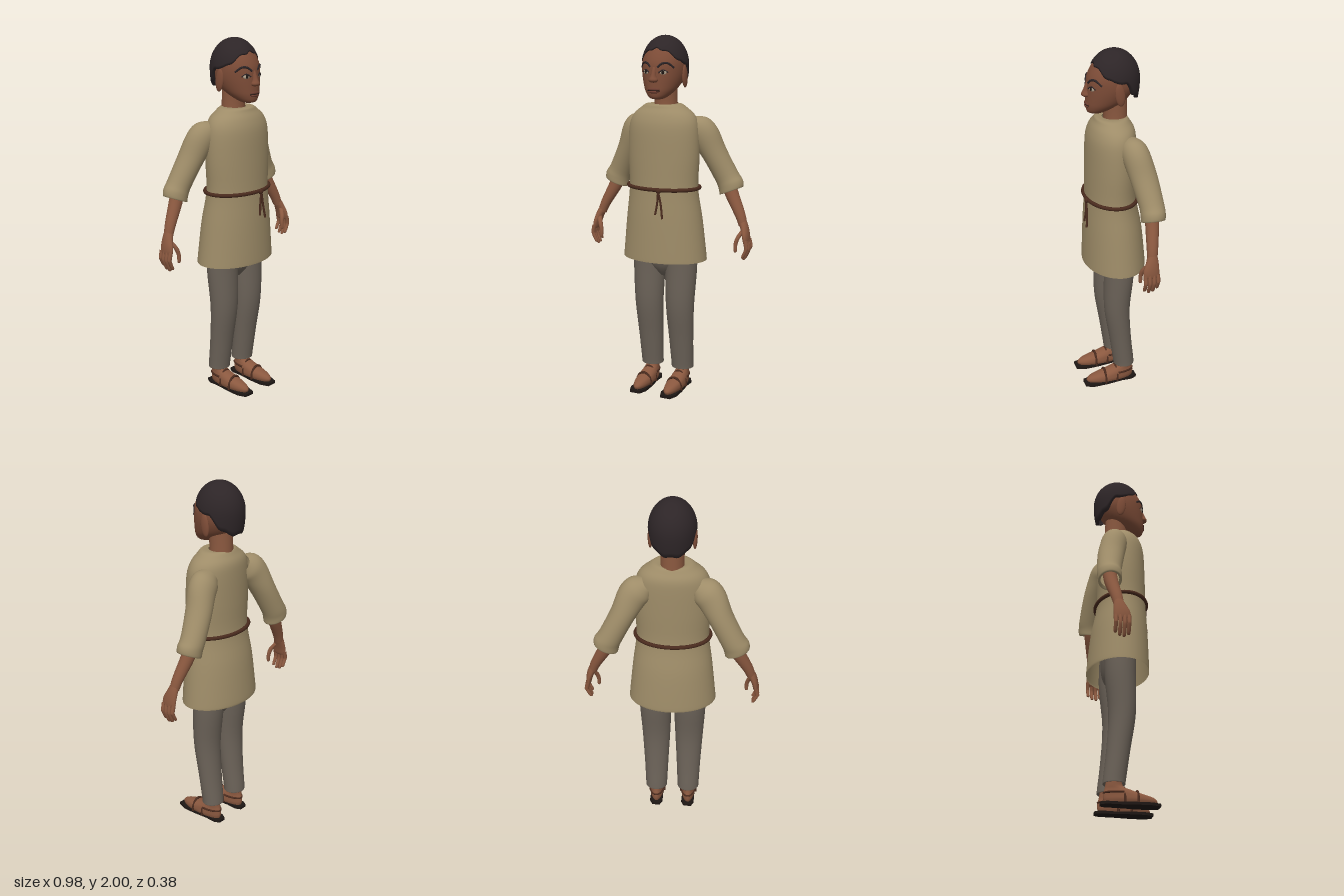
import * as THREE from 'three';

const mat = (name, color, side = THREE.FrontSide) => {
  const m = new THREE.MeshStandardMaterial({ color, side });
  m.name = name;
  return m;
};

// Smooth skin through elliptical rings, bottom to top: [x, y, z, rx, rz, tilt about z].
// s = -1 gives the mirrored part.
function loft(rows, s = 1, n = 28, steps = 4) {
  const at = i => rows[Math.min(rows.length - 1, Math.max(0, i))];
  const rings = [];
  for (let i = 0; i < rows.length - 1; i++) {
    for (let k = 0; k < steps + (i === rows.length - 2 ? 1 : 0); k++) {
      const t = k / steps;
      rings.push([0, 1, 2, 3, 4, 5].map(c => {
        const [p, a, b, q] = [i - 1, i, i + 1, i + 2].map(j => at(j)[c] || 0);
        return a + 0.5 * t * (b - p + t * (2 * p - 5 * a + 4 * b - q + t * (3 * (a - b) + q - p)));
      }));
    }
  }
  return skin(rings.length, n, (i, a) => {
    const [x, y, z, rx, rz, tilt] = rings[i];
    const u = Math.cos(a) * Math.max(0, rx), r = tilt * s;
    return [x * s + u * Math.cos(r), y + u * Math.sin(r), z + Math.sin(a) * Math.max(0, rz)];
  });
}

// Closed-around grid of points, row by row upwards
function skin(rows, n, point) {
  const pos = [], idx = [];
  for (let i = 0; i < rows; i++) {
    for (let j = 0; j < n; j++) {
      pos.push(...point(i, j / n * Math.PI * 2));
      if (i === rows - 1) continue;
      const a = i * n + j, b = i * n + (j + 1) % n;
      idx.push(a, a + n, b, b, a + n, b + n);
    }
  }
  const g = new THREE.BufferGeometry();
  g.setAttribute('position', new THREE.Float32BufferAttribute(pos, 3));
  g.setIndex(idx);
  g.computeVertexNormals();
  return g;
}

const tube = (pts, r, closed = false) => new THREE.TubeGeometry(
  new THREE.CatmullRomCurve3(pts.map(p => new THREE.Vector3(...p)), closed), closed ? 64 : 20, r, 8, closed);

const arc = (count, from, to, point) => Array.from({ length: count },
  (_, i) => point(from + (to - from) * i / (count - 1)));

const headRows = [
  [0, 1.66, 0.08, 0, 0], [0, 1.668, 0.08, 0.04, 0.045], [0, 1.70, 0.05, 0.075, 0.085],
  [0, 1.74, 0.02, 0.098, 0.115], [0, 1.80, 0, 0.115, 0.132], [0, 1.86, 0, 0.115, 0.126],
  [0, 1.92, -0.015, 0.1, 0.11], [0, 1.965, -0.018, 0.06, 0.068], [0, 1.985, -0.018, 0, 0],
];

// Depth of the face surface at a point
function faceZ(x, y) {
  const i = headRows.findIndex(r => r[1] > y), a = headRows[i - 1], b = headRows[i];
  const [cz, rx, rz] = [2, 3, 4].map(c => a[c] + (b[c] - a[c]) * (y - a[1]) / (b[1] - a[1]));
  return cz + rz * Math.sqrt(Math.max(0, 1 - (x / rx) ** 2));
}
const onFace = (s, pts, off) => pts.map(([x, y]) => [s * x, y, faceZ(x, y) + off]);

// Height of the hairline at an angle from the front
const hairline = [[0, 1.93], [0.4, 1.925], [0.8, 1.895], [1.3, 1.85], [1.55, 1.85],
  [1.8, 1.84], [2.2, 1.775], [2.6, 1.74], [3.15, 1.73]];
function hairEdge(th) {
  const i = hairline.findIndex(p => p[0] > th), a = hairline[i - 1], b = hairline[i];
  return a[1] + (b[1] - a[1]) * (th - a[0]) / (b[0] - a[0]) + 0.006 * Math.cos(th * 10);
}

export function createModel() {
  const tunicMat = mat('tunic cloth', 0x9e8c68, THREE.DoubleSide);
  const trouserMat = mat('trouser cloth', 0x6b6258, THREE.DoubleSide);
  const skinMat = mat('skin', 0x8a583f);
  const faceMat = mat('face skin', 0x7d4c37);
  const lipMat = mat('lips', 0x6b3d30);
  const hairMat = mat('hair', 0x2d2527, THREE.DoubleSide);
  const leatherMat = mat('leather', 0x4a2b1e);
  const soleMat = mat('sole', 0x1e1714);
  const eyeMat = mat('eye white', 0xb5a58f);

  const model = new THREE.Group();
  const add = (name, geo, m) => {
    const mesh = new THREE.Mesh(geo, m);
    mesh.name = name;
    model.add(mesh);
    return mesh;
  };
  const ball = (name, m, p, r) => {
    const mesh = add(name, new THREE.SphereGeometry(1, 20, 14), m);
    mesh.position.set(...p);
    mesh.scale.set(...r);
    return mesh;
  };

  // Tunic body, open at the hem
  add('tunic', loft([
    [0, 0.765, -0.015, 0.245, 0.17], [0, 0.80, -0.015, 0.242, 0.17], [0, 1.0, -0.008, 0.221, 0.157],
    [0, 1.17, 0.003, 0.2, 0.137], [0, 1.35, 0.002, 0.207, 0.134], [0, 1.5, 0, 0.202, 0.13],
    [0, 1.57, -0.005, 0.178, 0.118], [0, 1.61, -0.005, 0.132, 0.096], [0, 1.63, -0.004, 0.1, 0.083],
    [0, 1.63, -0.015, 0.06, 0.06]], 1, 48), tunicMat);

  // Rope belt with two hanging ends and a knot
  add('belt', tube(arc(33, 0, Math.PI * 2 * 32 / 33, a =>
    [0.207 * Math.cos(a), 1.175, 0.002 + 0.142 * Math.sin(a)]), 0.011, true), leatherMat);
  ball('belt knot', leatherMat, [0.035, 1.172, 0.148], [0.016, 0.016, 0.012]);
  add('beltEnd', tube([[0.035, 1.17, 0.152], [0.03, 1.11, 0.15], [0.02, 1.04, 0.157]], 0.006), leatherMat);
  add('beltEnd', tube([[0.035, 1.17, 0.152], [0.05, 1.10, 0.15], [0.062, 1.02, 0.157]], 0.006), leatherMat);

  // Neck and head
  add('neck', loft([[0, 1.58, -0.027, 0.066, 0.066], [0, 1.65, -0.027, 0.063, 0.064],
    [0, 1.76, -0.02, 0.065, 0.068]]), skinMat);
  add('head', loft(headRows, 1, 40), faceMat);
  add('nose', loft([[0, 1.752, 0.128, 0, 0], [0, 1.758, 0.132, 0.02, 0.02], [0, 1.77, 0.134, 0.026, 0.026],
    [0, 1.79, 0.13, 0.016, 0.021], [0, 1.835, 0.122, 0.01, 0.01], [0, 1.845, 0.12, 0, 0]], 1, 16), faceMat);
  ball('upperLip', lipMat, [0, 1.718, faceZ(0, 1.718) - 0.003], [0.036, 0.008, 0.009]);
  ball('lowerLip', lipMat, [0, 1.704, faceZ(0, 1.704) - 0.003], [0.03, 0.008, 0.01]);
  add('mouthLine', tube(arc(7, -0.036, 0.036, x => [x, 1.711, faceZ(x, 1.711) + 0.003]), 0.002), soleMat);

  // Hair cap: the first row tucks under the hairline
  add('hair', skin(18, 72, (i, a) => {
    const th = Math.acos(Math.min(1, Math.max(-1, Math.sin(a)))), edge = hairEdge(th);
    const t = Math.max(0, i - 1) / 16;
    const y = edge + (2 - edge) * Math.sin(t * Math.PI / 2);
    const f = (y > 1.84 ? Math.sqrt(Math.max(0, 1 - ((y - 1.84) / 0.16) ** 2))
      : 1 - 0.08 * ((1.84 - y) / 0.11) ** 2) * (i === 0 ? 0.84 : 1);
    return [0.127 * f * Math.cos(a), y, -0.018 + 0.14 * f * Math.sin(a)];
  }), hairMat);

  for (const s of [1, -1]) {
    const side = s > 0 ? 'left' : 'right';

    // Face details
    const eyeZ = faceZ(0.05, 1.808);
    ball(side + 'Eye', eyeMat, [s * 0.05, 1.808, eyeZ - 0.001], [0.019, 0.012, 0.006]).rotation.y = s * 0.4;
    ball(side + 'Pupil', soleMat, [s * 0.05, 1.809, eyeZ + 0.003], [0.009, 0.01, 0.004]).rotation.y = s * 0.4;
    add(side + 'Eyelid', tube(onFace(s, [[0.028, 1.807], [0.05, 1.821], [0.073, 1.808]], 0.002), 0.0035), hairMat);
    add(side + 'Eyebrow', tube(onFace(s, [[0.02, 1.835], [0.042, 1.854], [0.068, 1.857], [0.094, 1.832]], 0.001),
      0.006), hairMat);
    ball(side + 'Ear', faceMat, [s * 0.116, 1.782, -0.016], [0.013, 0.062, 0.027]).rotation.x = 0.12;

    // Sleeve, forearm and hand
    add(side + 'Sleeve', loft([
      [0.35, 1.165, -0.12, 0.055, 0.05, 0.37], [0.356, 1.155, -0.12, 0.07, 0.063, 0.37],
      [0.35, 1.19, -0.121, 0.072, 0.066, 0.38], [0.325, 1.235, -0.12, 0.067, 0.067, 0.42],
      [0.26, 1.36, -0.1, 0.069, 0.074, 0.45], [0.212, 1.455, -0.078, 0.082, 0.075, 0.6],
      [0.17, 1.5, -0.068, 0.08, 0.07, 0.8], [0.13, 1.52, -0.06, 0.05, 0.05, 1]], s, 32), tunicMat);
    add(side + 'Forearm', loft([
      [0.439, 0.975, -0.088, 0.024, 0.027, 0.4], [0.418, 1.03, -0.095, 0.029, 0.031, 0.42],
      [0.36, 1.14, -0.113, 0.038, 0.037, 0.42], [0.33, 1.22, -0.12, 0.038, 0.038, 0.42]], s, 20), skinMat);
    add(side + 'Palm', loft([
      [0.469, 0.875, -0.074, 0, 0, 0.2], [0.468, 0.882, -0.074, 0.013, 0.04, 0.2],
      [0.462, 0.92, -0.075, 0.018, 0.044, 0.25], [0.45, 0.96, -0.083, 0.021, 0.035, 0.35],
      [0.437, 0.99, -0.088, 0.023, 0.027, 0.4]], s, 20), skinMat);
    [0.012, 0, 0.004, 0.02].forEach((lift, i) => {
      const z = -0.04 - i * 0.023;
      add(side + 'Finger', loft([
        [0.455, 0.783 + lift, z, 0, 0], [0.457, 0.79 + lift, z, 0.009, 0.009],
        [0.475, 0.835 + lift * 0.6, z, 0.011, 0.0105], [0.477, 0.86, z, 0.012, 0.011],
        [0.468, 0.9, z, 0.013, 0.012]], s, 10), skinMat);
    });
    add(side + 'Thumb', loft([
      [0.417, 0.828, -0.03, 0, 0], [0.418, 0.836, -0.03, 0.009, 0.009], [0.418, 0.875, -0.032, 0.011, 0.011],
      [0.43, 0.915, -0.042, 0.013, 0.014], [0.45, 0.955, -0.07, 0.012, 0.014]], s, 12), skinMat);

    // Trouser leg
    add(side + 'TrouserLeg', loft([
      [0.095, 0.125, -0.05, 0.045, 0.045], [0.095, 0.112, -0.05, 0.062, 0.058], [0.095, 0.14, -0.048, 0.064, 0.06],
      [0.095, 0.3, -0.028, 0.071, 0.063], [0.096, 0.5, -0.008, 0.082, 0.073],
      [0.098, 0.72, -0.018, 0.092, 0.084], [0.096, 0.9, -0.015, 0.092, 0.085]], s), trouserMat);

    // Foot with its sandal
    add(side + 'Foot', loft([
      [0.095, 0.012, 0.035, 0.04, 0.135], [0.095, 0.03, 0.036, 0.046, 0.142], [0.095, 0.05, 0.025, 0.045, 0.132],
      [0.095, 0.068, -0.005, 0.042, 0.1], [0.095, 0.085, -0.03, 0.037, 0.07],
      [0.095, 0.105, -0.05, 0.035, 0.046], [0.095, 0.16, -0.05, 0.035, 0.04]], s), skinMat);
    const outline = new THREE.Shape(
      [[-0.03, 0.19], [-0.048, 0.14], [-0.046, 0.06], [-0.036, -0.03], [-0.038, -0.09], [-0.022, -0.122],
        [0.022, -0.122], [0.038, -0.09], [0.036, -0.03], [0.046, 0.06], [0.048, 0.14], [0.03, 0.19]]
        .map(p => new THREE.Vector2(...p)));
    const sole = add(side + 'Sole', new THREE.ExtrudeGeometry(outline, { depth: 0.015, bevelEnabled: false }), soleMat);
    sole.rotation.x = Math.PI / 2;
    sole.position.set(s * 0.095, 0.015, 0);
    for (const [z, w, h] of [[0.07, 0.046, 0.07], [0.0, 0.044, 0.086]]) {
      add(side + 'Strap', tube(arc(11, 0, Math.PI, a =>
        [s * 0.095 + w * Math.cos(a), 0.012 + h * Math.sin(a), z]), 0.007), leatherMat);
    }
    add(side + 'HeelStrap', tube(arc(13, 0, -Math.PI, a =>
      [s * 0.095 + 0.043 * Math.cos(a), 0.065, -0.005 + 0.098 * Math.sin(a)]), 0.006), leatherMat);
  }

  // Seat of the trousers joining both legs
  add('trouserSeat', loft([[0, 0.66, -0.015, 0.02, 0.03], [0, 0.72, -0.016, 0.11, 0.072],
    [0, 0.8, -0.015, 0.18, 0.09], [0, 0.95, -0.01, 0.18, 0.1]]), trouserMat);

  return model;
}
